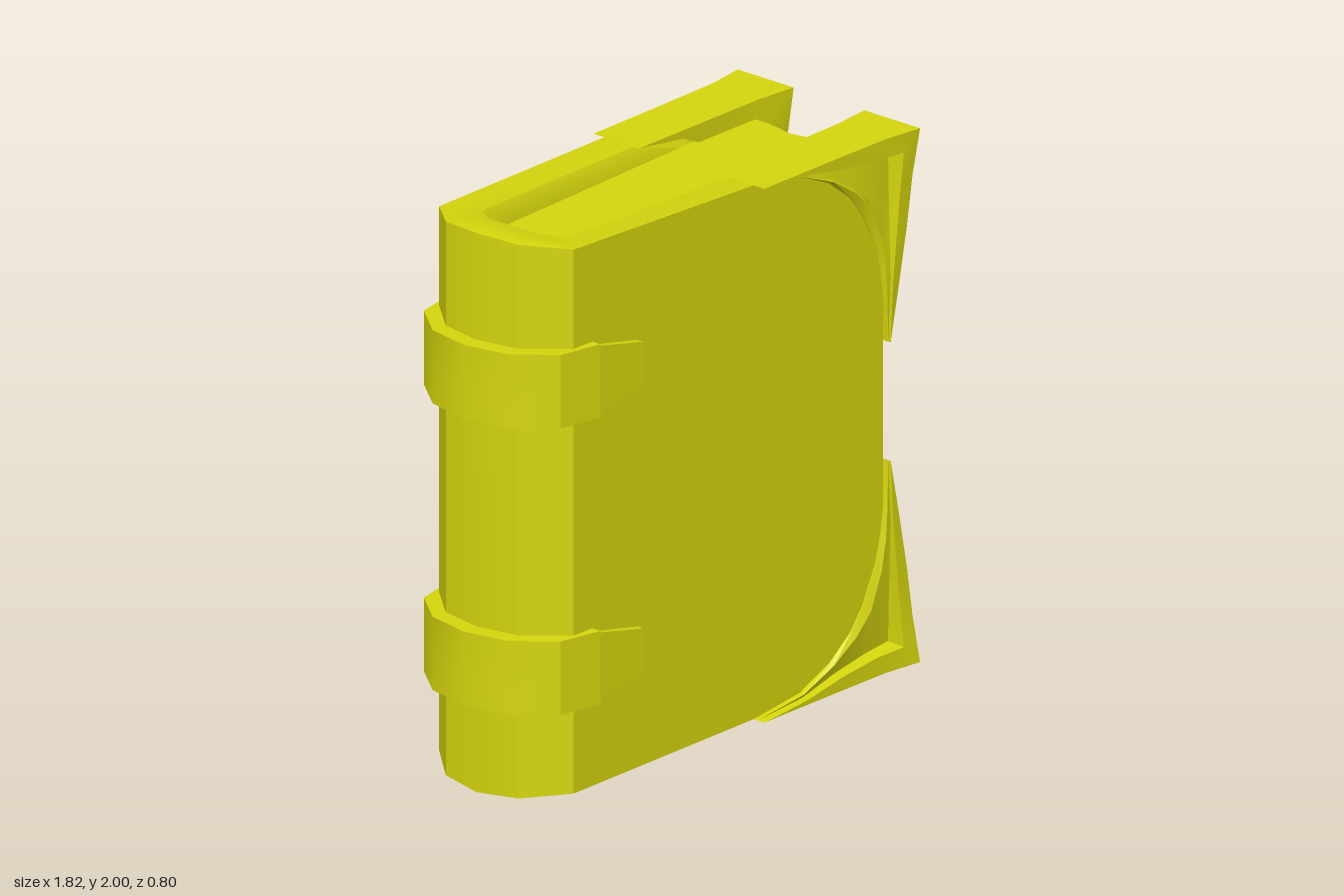
import * as THREE from 'three';
import { toCreasedNormals } from 'three/addons/utils/BufferGeometryUtils.js';

const mix = (a, b, t) => a + (b - a) * t;
const mixXY = (a, b, t) => [mix(a[0], b[0], t), mix(a[1], b[1], t)];

// Closed solid through a list of equal rings of [x, y, z]; capped and turned outward.
function loft(rings, crease = 0.5) {
  const tris = [];
  const add = (...t) => {
    const [a, b, c] = t.map((p) => new THREE.Vector3(...p));
    const area = b.clone().sub(a).cross(c.clone().sub(a)).length();
    if (area > 1e-7) tris.push([a, b, c]);
  };
  const centre = (r) => [0, 1, 2].map((k) => r.reduce((s, p) => s + p[k], 0) / r.length);
  const n = rings[0].length;
  const first = rings[0], last = rings[rings.length - 1];
  const c0 = centre(first), c1 = centre(last);
  for (let i = 0; i < n; i++) {
    const j = (i + 1) % n;
    for (let k = 0; k + 1 < rings.length; k++) {
      const a = rings[k], b = rings[k + 1];
      add(a[i], a[j], b[i]);
      add(a[j], b[j], b[i]);
    }
    add(c0, first[j], first[i]);
    add(c1, last[i], last[j]);
  }
  const volume = tris.reduce((s, [a, b, c]) => s + a.dot(b.clone().cross(c)), 0);
  const points = tris.flatMap(([a, b, c]) => (volume < 0 ? [a, c, b] : [a, b, c]));
  return toCreasedNormals(new THREE.BufferGeometry().setFromPoints(points), crease);
}

// Rounded inner edge and curved outer edge of a corner guard, tip to tip
const ARC = [[0.16, 1.945], [0.38, 1.915], [0.52, 1.85], [0.62, 1.77], [0.68, 1.69],
  [0.74, 1.56], [0.765, 1.46], [0.778, 1.37], [0.80, 1.21]];
const EDGE = [[0.16, 1.945], [0.38, 1.945], [0.55, 1.945], [0.76, 1.945], [0.908, 1.945],
  [0.893, 1.78], [0.87, 1.6], [0.838, 1.4], [0.80, 1.21]];
const RIM = [[0.16, 1.945], [0.38, 1.928], [0.55, 1.898], [0.72, 1.88], [0.84, 1.875],
  [0.835, 1.75], [0.823, 1.62], [0.805, 1.42], [0.80, 1.21]];
const OUT = [0.375, 0.376, 0.377, 0.38, 0.4, 0.38, 0.375, 0.368, 0.355];
const IN = [0.175, 0.173, 0.172, 0.17, 0.155, 0.168, 0.17, 0.175, 0.2];
const DEPTH = [0, 0.15, 0.6, 0.9, 1, 0.9, 0.6, 0.15, 0];

const coverZ = (x) => 0.295 + (x + 0.7) * 0.038;
const pageZ = (x) => 0.155 + (x + 0.6) * 0.033;

// One U-shaped cover: outer wall, ridge, inner rim and sloped gutter at each station
function coverGeometry() {
  const half = [
    // outer x,y,z   ridge x,y,z   inner rim x,y,z   gutter x,y,z
    [[-0.85, 1.99, 0], [-0.8, 2, 0], [-0.685, 1.97, 0], [-0.655, 1.88, 0]],
    [[-0.82, 1.98, 0.16], [-0.77, 1.985, 0.155], [-0.665, 1.96, 0.11], [-0.64, 1.88, 0.095]],
    [[-0.7, 1.963, 0.295], [-0.67, 1.962, 0.285], [-0.61, 1.95, 0.185], [-0.595, 1.88, 0.155]],
  ];
  for (const [x, y] of ARC.slice(0, 8)) {
    const low = Math.min(1.88, y - 0.02);
    half.push([[x, y, coverZ(x)], [x, y, coverZ(x) - 0.015],
      [x, y - 0.005, pageZ(x) + 0.028], [x, low, pageZ(x)]]);
  }
  const ring = (s, sign) => {
    const top = s.map(([x, y, z]) => [x, y, z * sign]);
    return [...top, ...top.map(([x, y, z]) => [x, 2 - y, z]).reverse()];
  };
  const back = half.slice(1).reverse().map((s) => ring(s, -1));
  return loft([...back, ...half.map((s) => ring(s, 1))]);
}

// Page block with a hollow fore edge
function pagesGeometry() {
  const side = [[-0.64, 0.095], [-0.595, 0.155], [0.16, pageZ(0.16)],
    [0.735, pageZ(0.735)], [0.733, 0.1]];
  const outline = [[-0.655, 0], ...side, [0.713, 0],
    ...side.map(([x, z]) => [x, -z]).reverse()];
  return loft([0.125, 1.88].map((y) => outline.map(([x, z]) => [x, y, z])));
}

// Corner guard: bevelled arc, sunken triangular panel, raised rim, flared tip
function cornerGeometry(sy, sz) {
  const rings = ARC.map((arc, i) => {
    const lip = mixXY(arc, RIM[i], 0.14);
    const floorA = mixXY(arc, RIM[i], 0.22);
    const floorB = mixXY(arc, RIM[i], 0.96);
    const base = Math.min(coverZ(arc[0]) + 0.004, OUT[i]);
    const lipZ = Math.min(base + 0.014, OUT[i]);
    return [
      [...arc, base], [...lip, lipZ],
      [...floorA, mix(lipZ, 0.345, DEPTH[i])], [...floorB, mix(lipZ, 0.325, DEPTH[i])],
      [...RIM[i], mix(OUT[i], 0.377, 0.5)], [...EDGE[i], OUT[i]],
      [...EDGE[i], IN[i]], [...arc, IN[i]],
    ].map(([x, y, z]) => [x, sy > 0 ? y : 2 - y, z * sz]);
  });
  return loft(rings, 0.45);
}

// Spine band wrapping around the back of the book
function bandGeometry(y) {
  const outer = [[-0.61, 0.335], [-0.77, 0.3], [-0.88, 0.165], [-0.912, 0]];
  const inner = [[-0.61, 0.28], [-0.7, 0.27], [-0.8, 0.15], [-0.83, 0]];
  const path = (p) => [...p, ...p.slice(0, 3).reverse().map(([x, z]) => [x, -z])];
  const o = path(outer), n = path(inner);
  return loft(o.map(([x, z], i) => [
    [x, y - 0.13, z], [x, y + 0.13, z],
    [n[i][0], y + 0.13, n[i][1]], [n[i][0], y - 0.13, n[i][1]],
  ]));
}

// Tapered tongue at each end of a band
function tongueGeometry(y, sz) {
  const section = (x, h, z) => [[x, y - h, z * sz], [x, y + h, z * sz],
    [x, y + h, 0.28 * sz], [x, y - h, 0.28 * sz]];
  return loft([section(-0.615, 0.12, 0.318), section(-0.395, 0.075, 0.334)], 0.3);
}

export function createModel() {
  const model = new THREE.Group();
  model.name = 'book';
  const yellow = new THREE.MeshStandardMaterial({ color: 0xd6d60e });
  yellow.name = 'yellow';
  const add = (name, geometry) => {
    const mesh = new THREE.Mesh(geometry, yellow);
    mesh.name = name;
    model.add(mesh);
  };

  add('cover', coverGeometry());
  add('pages', pagesGeometry());
  for (const sz of [1, -1]) {
    const face = sz > 0 ? 'front' : 'back';
    add(face + 'UpperCorner', cornerGeometry(1, sz));
    add(face + 'LowerCorner', cornerGeometry(-1, sz));
  }
  for (const [name, y] of [['upper', 1.482], ['lower', 0.467]]) {
    add(name + 'Band', bandGeometry(y));
    add(name + 'FrontTongue', tongueGeometry(y, 1));
    add(name + 'BackTongue', tongueGeometry(y, -1));
  }
  return model;
}
